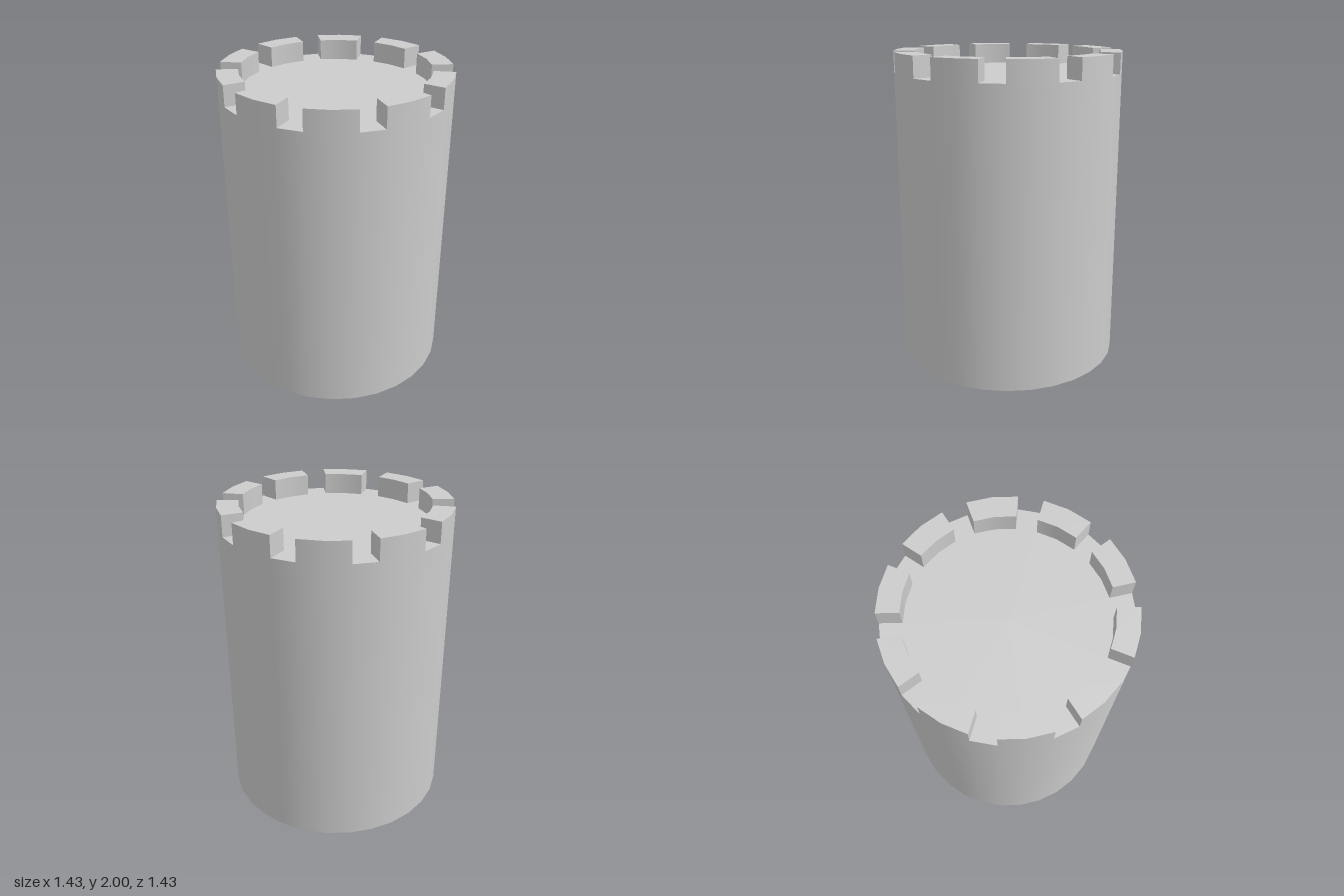
import * as THREE from 'three';

const SIDES = 30;
const STEP = (Math.PI * 2) / SIDES;
const OUTER = 0.717;
const INNER = 0.585;
const FLOOR = 1.87;
const TOP = 2;

// One battlement block: two wall segments wide, centred on +x.
function merlonGeometry() {
  const ring = (r, steps) =>
    steps.map((i) => new THREE.Vector2(r * Math.cos(i * STEP), r * Math.sin(i * STEP)));
  const shape = new THREE.Shape([...ring(OUTER, [-1, 0, 1]), ...ring(INNER, [1, 0, -1])]);
  const geometry = new THREE.ExtrudeGeometry(shape, { depth: TOP - FLOOR, bevelEnabled: false });
  geometry.rotateX(-Math.PI / 2);
  geometry.translate(0, FLOOR, 0);

  // Smooth the curved faces so they continue the shading of the wall.
  const { position, normal } = geometry.attributes;
  const n = new THREE.Vector3();
  const radial = new THREE.Vector3();
  for (let i = 0; i < position.count; i++) {
    n.fromBufferAttribute(normal, i);
    radial.fromBufferAttribute(position, i).setY(0).normalize();
    const facing = n.dot(radial);
    if (Math.abs(facing) > 0.9) {
      radial.multiplyScalar(Math.sign(facing));
      normal.setXYZ(i, radial.x, radial.y, radial.z);
    }
  }
  return geometry;
}

export function createModel() {
  const model = new THREE.Group();
  model.name = 'tower';
  const material = new THREE.MeshStandardMaterial({ color: 0xcccccc });

  // Solid round body, with a corner on the x axis.
  const body = new THREE.Mesh(
    new THREE.CylinderGeometry(OUTER, OUTER, FLOOR, SIDES, 1, false, Math.PI / 2),
    material
  );
  body.name = 'towerBody';
  body.position.y = FLOOR / 2;
  model.add(body);

  // Ten battlements, each followed by a gap one segment wide.
  const battlements = new THREE.Group();
  battlements.name = 'battlements';
  const geometry = merlonGeometry();
  for (let i = 0; i < SIDES / 3; i++) {
    const merlon = new THREE.Mesh(geometry, material);
    merlon.name = `merlon${i + 1}`;
    merlon.rotation.y = i * 3 * STEP;
    battlements.add(merlon);
  }
  model.add(battlements);

  return model;
}
